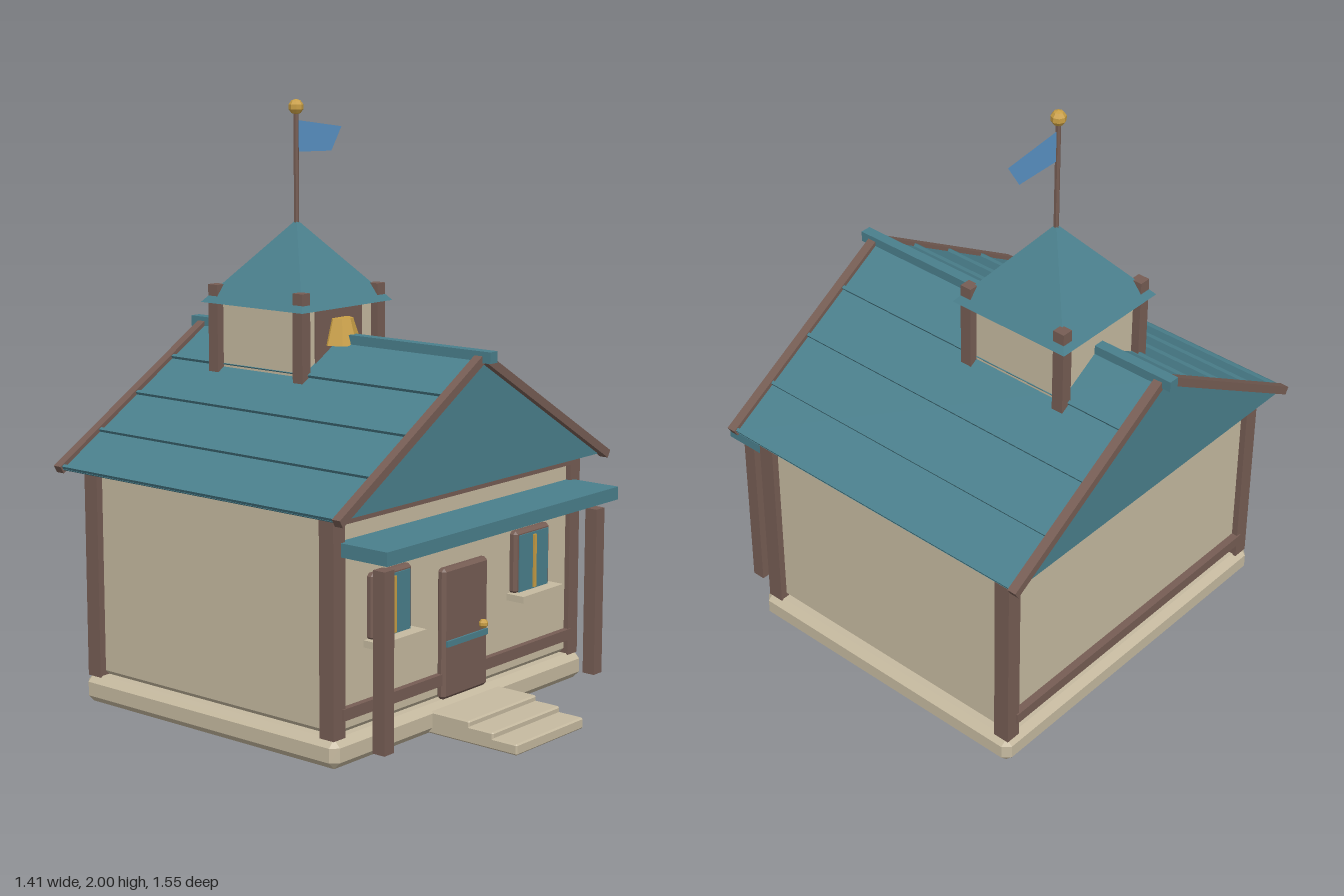
import * as THREE from 'three';
import { ConvexGeometry } from 'three/addons/geometries/ConvexGeometry.js';

const paint = (name, color) => {
  const m = new THREE.MeshStandardMaterial({ color });
  m.name = name;
  return m;
};

// Box with chamfered edges, given by its full size and bevel width
function bevelBox(w, h, d, b) {
  const pts = [];
  for (const sx of [-1, 1]) for (const sy of [-1, 1]) for (const sz of [-1, 1]) {
    const x = w / 2, y = h / 2, z = d / 2;
    pts.push(
      new THREE.Vector3(sx * x, sy * (y - b), sz * (z - b)),
      new THREE.Vector3(sx * (x - b), sy * y, sz * (z - b)),
      new THREE.Vector3(sx * (x - b), sy * (y - b), sz * z));
  }
  return new ConvexGeometry(pts);
}

export function createModel() {
  const cream = paint('cream plaster', 0xc6baa0);
  const teal = paint('teal roof', 0x4a7f8c);
  const brown = paint('brown timber', 0x765d54);
  const gold = paint('gold', 0xc99f45);
  const blue = paint('blue flag', 0x5a93c6);
  blue.side = THREE.DoubleSide;

  const model = new THREE.Group();
  model.name = 'schoolhouse';

  const add = (name, geo, mat, x = 0, y = 0, z = 0) => {
    const m = new THREE.Mesh(geo, mat);
    m.name = name;
    m.position.set(x, y, z);
    model.add(m);
    return m;
  };
  // Box from its min and max on each axis, with an optional bevel
  const box = (name, mat, [x0, x1], [y0, y1], [z0, z1], b = 0) => {
    const s = [x1 - x0, y1 - y0, z1 - z0];
    return add(name, b ? bevelBox(...s, b) : new THREE.BoxGeometry(...s), mat,
      (x0 + x1) / 2, (y0 + y1) / 2, (z0 + z1) / 2);
  };
  const faceted = (geo) => {
    const g = geo.index ? geo.toNonIndexed() : geo;
    g.computeVertexNormals();
    return g;
  };

  // Foundation and walls
  box('foundation', cream, [-0.656, 0.656], [0.005, 0.1], [-0.677, 0.44], 0.024);
  box('walls', cream, [-0.617, 0.617], [0.098, 0.8], [-0.645, 0.405], 0.018);

  // Corner posts and the beams on the front and back walls
  for (const x of [-0.614, 0.614]) for (const z of [-0.638, 0.394])
    add('cornerPost', new THREE.BoxGeometry(0.055, 0.705, 0.058), brown, x, 0.4475, z);
  for (const [z0, z1] of [[0.39, 0.427], [-0.672, -0.635]]) {
    box('upperBeam', brown, [-0.6, 0.6], [0.767, 0.8], [z0, z1]);
    box('lowerBeam', brown, [-0.6, 0.6], [0.15, 0.188], [z0, z1]);
  }

  // Entrance steps
  [[0.045, 0.775], [0.064, 0.682], [0.082, 0.588]].forEach(([top, front]) =>
    box('step', cream, [-0.18, 0.18], [0.008, top], [0.42, front], 0.005));

  // Door with rail and knob
  box('door', brown, [-0.117, 0.117], [0.102, 0.537], [0.4, 0.435], 0.011);
  box('doorRail', teal, [-0.106, 0.106], [0.278, 0.298], [0.43, 0.442]);
  add('doorKnob', faceted(new THREE.SphereGeometry(0.016, 8, 5)), gold, 0.072, 0.322, 0.449);

  // Windows
  for (const x of [-0.367, 0.367]) {
    box('windowFrame', brown, [x - 0.097, x + 0.097], [0.375, 0.588], [0.395, 0.43], 0.01);
    box('windowPane', teal, [x - 0.08, x + 0.08], [0.38, 0.574], [0.428, 0.434]);
    box('windowBar', gold, [x - 0.006, x + 0.006], [0.385, 0.566], [0.432, 0.441]);
    box('windowSill', cream, [x - 0.112, x + 0.112], [0.355, 0.378], [0.4, 0.475]);
  }

  // Porch roof and posts
  box('porchRoof', teal, [-0.607, 0.607], [0.668, 0.712], [0.4, 0.605]);
  for (const x of [-0.555, 0.555])
    box('porchPost', brown, [x - 0.023, x + 0.023], [0.065, 0.64], [0.525, 0.571]);

  // Main roof: solid gable, seams, rake boards and ridge
  const half = 0.693, eave = 0.8, rise = 0.415;
  const gable = new THREE.Shape([
    new THREE.Vector2(-half, eave), new THREE.Vector2(half, eave),
    new THREE.Vector2(0, eave + rise)]);
  add('mainRoof', new THREE.ExtrudeGeometry(gable, { depth: 1.21, bevelEnabled: false }),
    teal, 0, 0, -0.73);
  const pitch = Math.atan2(rise, half);
  const slope = Math.hypot(half, rise);
  for (const side of [-1, 1]) {
    for (const x of [0.175, 0.347, 0.52, 0.688]) {
      const seam = add('roofSeam', new THREE.BoxGeometry(0.012, 0.016, 1.2), teal,
        side * x, eave + rise * (1 - x / half) + 0.003, -0.125);
      seam.rotation.z = -side * pitch;
    }
    for (const z of [0.488, -0.73]) {
      const rake = add('rakeBoard', new THREE.BoxGeometry(slope + 0.01, 0.028, 0.032), brown,
        side * half / 2, eave + rise / 2, z);
      rake.rotation.z = -side * pitch;
    }
  }
  box('ridgeCap', teal, [-0.019, 0.019], [1.198, 1.235], [-0.778, 0.535]);

  // Bell tower
  const tz = -0.297;
  box('towerBody', cream, [-0.182, 0.182], [1.0, 1.33], [tz - 0.182, tz + 0.182]);
  box('bellPanel', brown, [-0.116, 0.116], [1.1, 1.33], [tz + 0.18, tz + 0.188]);
  for (const x of [-0.19, 0.19]) for (const z of [-0.19, 0.19])
    add('towerPost', new THREE.BoxGeometry(0.04, 0.295, 0.042), brown, x, 1.2375, tz + z);
  const spire = new THREE.ConeGeometry(0.228 * Math.SQRT2, 0.275, 4);
  spire.rotateY(Math.PI / 4);
  add('towerRoof', faceted(spire), teal, 0, 1.4625, tz);

  // Bell
  add('bell', faceted(new THREE.CylinderGeometry(0.04, 0.068, 0.088, 8)), gold, 0, 1.243, -0.1);

  // Flagpole, finial and flag
  add('flagpole', faceted(new THREE.CylinderGeometry(0.009, 0.009, 0.4, 6)), brown, 0, 1.77, tz);
  add('finial', faceted(new THREE.SphereGeometry(0.026, 8, 5)), gold, 0, 1.974, tz);
  const flag = new THREE.Shape([
    new THREE.Vector2(0.005, 1.825), new THREE.Vector2(0.178, 1.82),
    new THREE.Vector2(0.23, 1.9), new THREE.Vector2(0.005, 1.93)]);
  add('flag', new THREE.ShapeGeometry(flag), blue, 0, 0, tz);

  return model;
}
